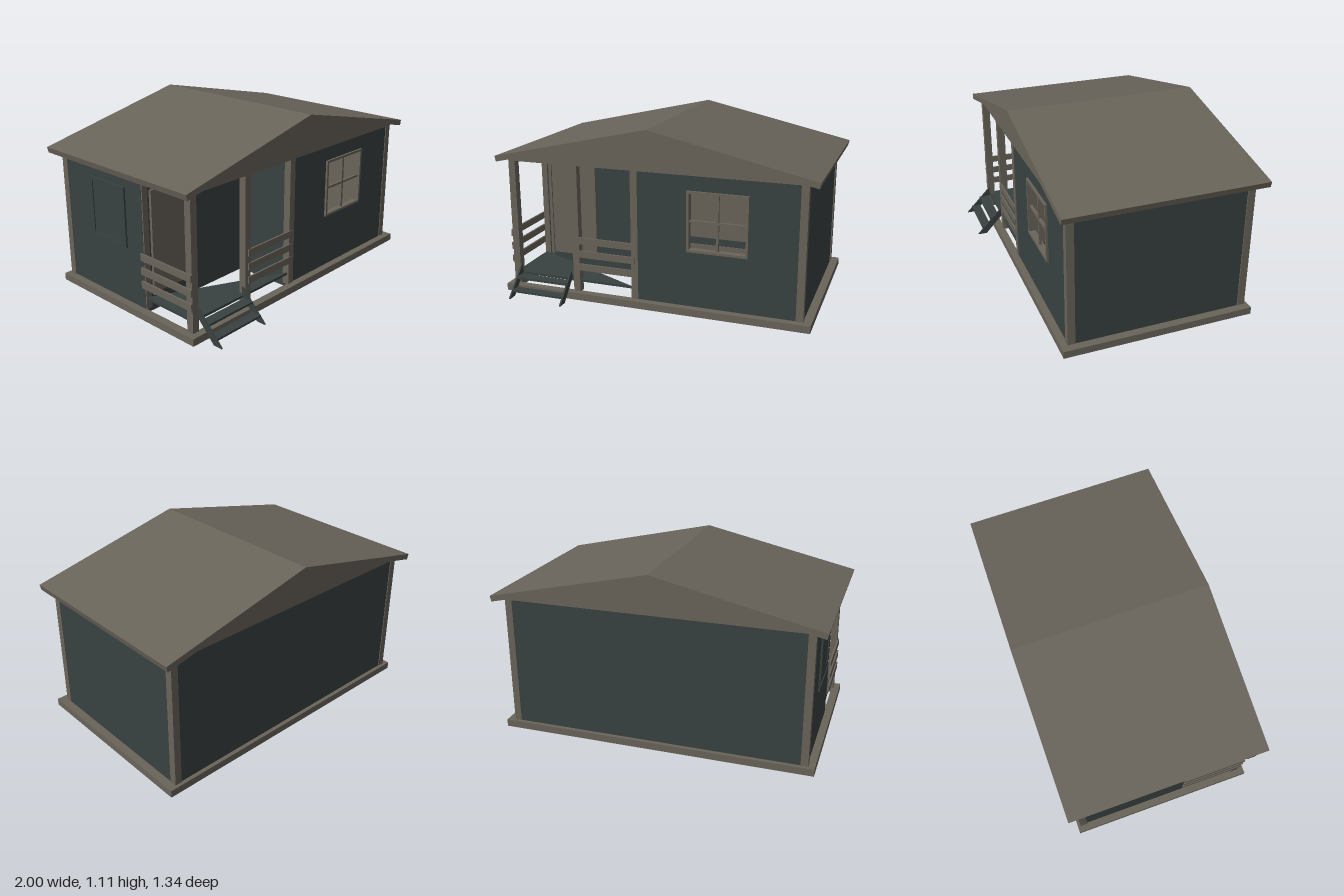
import * as THREE from 'three';

export function createModel() {
  const group = new THREE.Group();
  const timber = new THREE.MeshStandardMaterial({ color: 0x69645a });
  timber.name = 'greyTimber';
  const cladding = new THREE.MeshStandardMaterial({ color: 0x394141 });
  cladding.name = 'darkCladding';

  const add = (name, geometry, material) => {
    const mesh = new THREE.Mesh(geometry, material);
    mesh.name = name;
    group.add(mesh);
    return mesh;
  };
  // Box from its limits on each axis
  const box = (name, material, x0, x1, y0, y1, z0, z1) => {
    const mesh = add(name, new THREE.BoxGeometry(x1 - x0, y1 - y0, z1 - z0), material);
    mesh.position.set((x0 + x1) / 2, (y0 + y1) / 2, (z0 + z1) / 2);
    return mesh;
  };
  const polygon = (points) => new THREE.Shape(points.map(([x, y]) => new THREE.Vector2(x, y)));
  const extrude = (shape, depth) => new THREE.ExtrudeGeometry(shape, { depth, bevelEnabled: false });
  // Upright panel along x with a window opening
  const openPanel = (name, material, x0, x1, y0, y1, z, depth) => {
    const shape = polygon([[x0, y0], [x1, y0], [x1, y1], [x0, y1]]);
    shape.holes.push(polygon([[0.24, 0.4], [0.24, 0.75], [0.59, 0.75], [0.59, 0.4]]));
    add(name, extrude(shape, depth), material).position.z = z;
  };

  // Base frame, open underneath
  box('baseFront', timber, -0.97, 0.98, 0, 0.045, 0.49, 0.54);
  box('baseBack', timber, -0.97, 0.98, 0, 0.045, -0.64, -0.59);
  box('baseLeft', timber, 0.93, 0.98, 0, 0.045, -0.59, 0.49);
  box('baseRight', timber, -0.97, -0.92, 0, 0.045, -0.59, 0.49);

  // Outer walls around the L-shaped room
  const top = 0.855;
  openPanel('frontWall', cladding, -0.1, 0.92, 0.02, top, 0.475, 0.02);
  box('backWall', cladding, -0.92, 0.92, 0.02, top, -0.615, -0.595);
  box('leftWall', cladding, 0.905, 0.925, 0.02, top, -0.6, 0.49);
  box('rightWall', cladding, -0.925, -0.905, 0.02, top, -0.6, 0.1);
  box('porchBackWall', cladding, -0.92, -0.1, 0.02, top, 0.08, 0.1);
  box('porchSideWall', cladding, -0.12, -0.1, 0.02, top, 0.08, 0.48);

  // Inner lining
  openPanel('frontLining', timber, -0.1, 0.905, 0.1, top, 0.467, 0.008);
  box('backLining', timber, -0.905, 0.905, 0.1, top, -0.595, -0.587);
  box('leftLining', timber, 0.897, 0.905, 0.1, top, -0.59, 0.47);
  box('rightLining', timber, -0.905, -0.897, 0.1, top, -0.59, 0.08);
  box('porchBackLining', timber, -0.9, -0.1, 0.1, top, 0.072, 0.08);
  box('porchSideLining', timber, -0.1, -0.092, 0.1, top, 0.08, 0.47);

  // Room floor, seen from below
  const floor = new THREE.ShapeGeometry(polygon([
    [-0.91, -0.6], [0.91, -0.6], [0.91, 0.48], [-0.1, 0.48], [-0.1, 0.09], [-0.91, 0.09],
  ]));
  floor.rotateX(Math.PI / 2);
  add('roomFloor', floor, timber).position.y = 0.1;

  // Half-laid porch deck
  const deck = extrude(polygon([[-0.92, 0.1], [-0.12, 0.49], [-0.92, 0.49]]), 0.015);
  deck.rotateX(Math.PI / 2);
  add('porchDeck', deck, cladding).position.y = 0.12;

  // Corner and porch posts
  for (const [x, z] of [
    [0.91, 0.477], [0.91, -0.597], [-0.91, -0.597], [-0.91, 0.477], [-0.49, 0.477], [-0.1, 0.477],
  ]) box('post', timber, x - 0.022, x + 0.022, 0.04, top, z - 0.023, z + 0.023);
  box('porchCornerTrim', timber, -0.924, -0.885, 0.045, top, 0.08, 0.108);

  // Porch railings
  for (const y of [0.185, 0.27, 0.357]) {
    box('frontRail', timber, -0.49, -0.1, y, y + 0.043, 0.494, 0.505);
    box('sideRail', timber, -0.942, -0.93, y, y + 0.043, 0.09, 0.5);
  }

  // Door with raised frame
  box('doorPanel', timber, -0.85, -0.55, 0.13, 0.745, 0.1, 0.108);
  box('doorFrameTop', timber, -0.87, -0.53, 0.745, 0.765, 0.1, 0.118);
  for (const x of [-0.87, -0.55]) box('doorFrameSide', timber, x, x + 0.02, 0.12, 0.745, 0.1, 0.118);

  // Front window frame and glazing bars
  for (const y of [0.39, 0.745]) box('windowFrame', timber, 0.23, 0.6, y, y + 0.015, 0.465, 0.508);
  for (const x of [0.23, 0.585]) box('windowFrame', timber, x, x + 0.015, 0.405, 0.745, 0.465, 0.508);
  box('windowBar', timber, 0.407, 0.422, 0.405, 0.745, 0.478, 0.495);
  box('windowBar', timber, 0.245, 0.585, 0.568, 0.582, 0.478, 0.495);

  // Closed window on the right wall
  box('shutter', cladding, -0.93, -0.925, 0.41, 0.74, -0.33, -0.06);
  for (const y of [0.39, 0.74]) box('shutterFrame', cladding, -0.936, -0.92, y, y + 0.02, -0.35, -0.04);
  for (const z of [-0.35, -0.06]) box('shutterFrame', cladding, -0.936, -0.92, 0.41, 0.74, z, z + 0.02);

  // Gables and ceiling in one prism, under a folded roof
  const gable = polygon([[-0.93, 0.85], [0.93, 0.85], [0.93, 0.862], [0, 1.071], [-0.93, 0.862]]);
  add('gablesAndCeiling', extrude(gable, 1.125), timber).position.z = -0.622;
  const roof = polygon([
    [-1, 0.882], [-0.992, 0.847], [0, 1.07], [0.992, 0.847], [1, 0.882], [0, 1.106],
  ]);
  add('roof', extrude(roof, 1.217), timber).position.z = -0.672;

  // Porch steps between sloping stringers
  const side = polygon([[-0.67, 0], [-0.61, 0], [-0.495, 0.12], [-0.495, 0.18]]);
  for (const x of [-0.885, -0.535]) {
    const stringer = extrude(side, 0.01);
    stringer.rotateY(Math.PI / 2);
    add('stepStringer', stringer, cladding).position.x = x;
  }
  box('stepTread', cladding, -0.88, -0.53, 0.035, 0.048, 0.575, 0.635);
  box('stepTread', cladding, -0.88, -0.53, 0.1, 0.113, 0.51, 0.575);

  return group;
}
